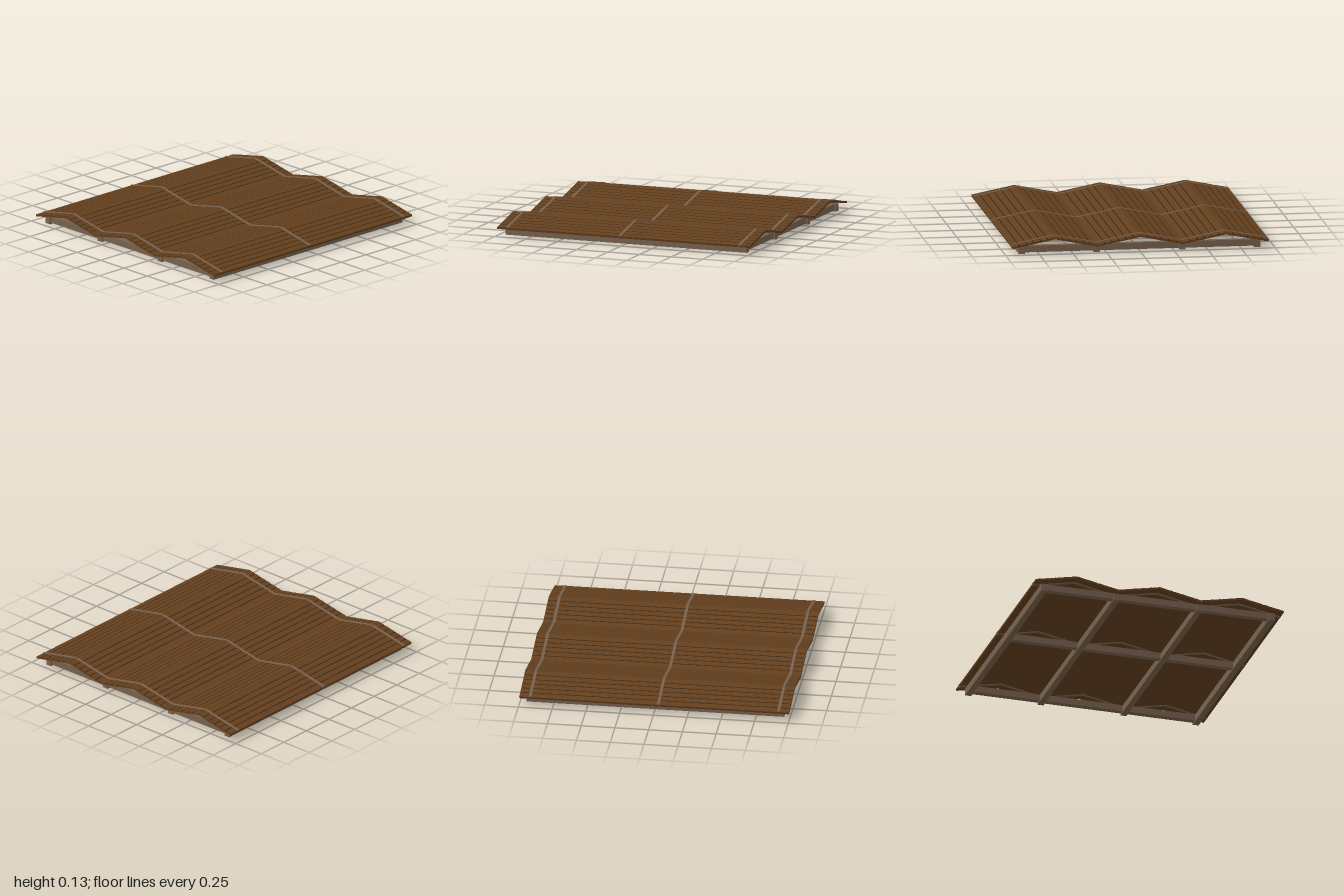
import * as THREE from 'three';

const material = (name, color) => {
  const m = new THREE.MeshStandardMaterial({ color });
  m.name = name;
  return m;
};

export function createModel() {
  const model = new THREE.Group();
  model.name = 'plankRoof';
  const plankWood = material('plank brown', 0x633f1d);
  const gapWood = material('gap dark brown', 0x33220f);
  const beamWood = material('beam grey brown', 0x77614d);

  const box = (parent, name, mat, size, pos) => {
    const mesh = new THREE.Mesh(new THREE.BoxGeometry(...size), mat);
    mesh.position.set(...pos);
    mesh.name = name;
    parent.add(mesh);
  };

  const run = 0.317, rise = 0.063, ridgeY = 0.119;
  const length = Math.hypot(run, rise), angle = Math.atan2(rise, run);
  const planks = 6, pitch = length / planks, gap = 0.008;
  const frameZ = [-0.92, 0.03, 0.92];

  // Six slopes, rising and falling in turn to form three ridges
  for (let s = 0; s < 6; s++) {
    const slope = new THREE.Group();
    slope.name = 'roofSlope';
    slope.position.set((s - 2.5) * run, ridgeY - rise / 2, 0);
    slope.rotation.z = s % 2 === 0 ? angle : -angle;
    model.add(slope);

    // Closed underside carrying the planks
    box(slope, 'deck', plankWood, [length, 0.008, 2], [0, -0.0035, 0]);
    for (let i = 0; i < planks; i++) {
      // Outermost planks run right up to the ridge, valley or eave
      const x0 = i * pitch - length / 2 + (i > 0 ? gap / 2 : 0);
      const x1 = (i + 1) * pitch - length / 2 - (i < planks - 1 ? gap / 2 : 0);
      box(slope, 'plank', plankWood, [x1 - x0, 0.007, 2], [(x0 + x1) / 2, 0.004, 0]);
      // Dark joint between neighbouring planks
      if (i > 0) {
        box(slope, 'plankGap', gapWood, [gap, 0.005, 1.998], [i * pitch - length / 2, 0.003, 0]);
      }
    }
    // Battens clasping the planks above and below
    for (const z of frameZ) {
      box(slope, 'batten', beamWood, [length, 0.024, 0.02], [0, 0, z]);
    }
  }

  // Long beams from front to back
  for (const x of [-0.873, -0.318, 0.318, 0.873]) {
    box(model, 'longBeam', beamWood, [0.046, 0.055, 1.91], [x, 0.0275, 0]);
  }
  // Cross beams from side to side, set slightly above the ground
  for (const z of frameZ) {
    box(model, 'crossBeam', beamWood, [1.75, 0.048, 0.046], [0, 0.034, z]);
  }
  return model;
}
